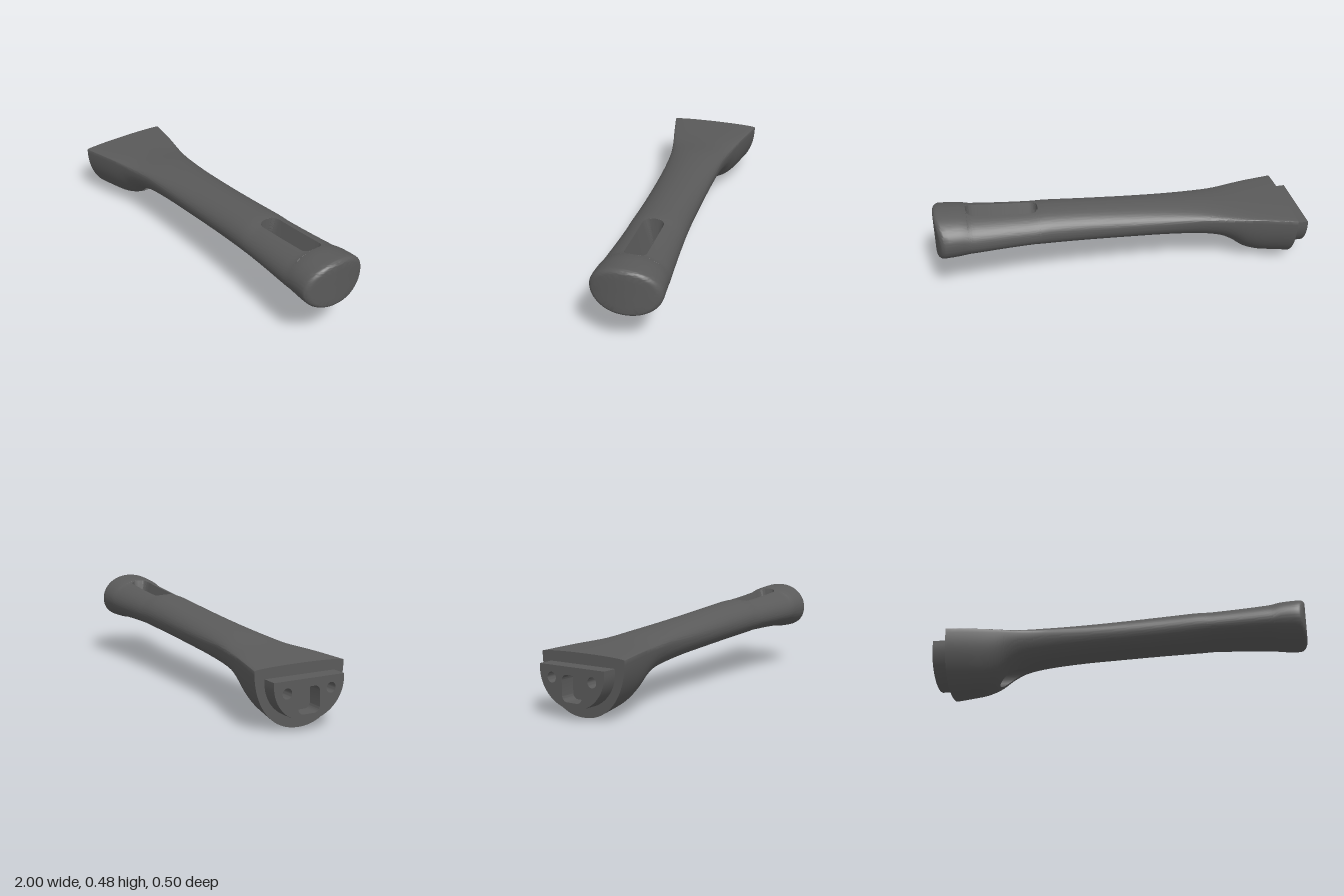
import * as THREE from 'three';
import { toCreasedNormals } from 'three/addons/utils/BufferGeometryUtils.js';

// Smooth curve through [x, value] points
function profile(pts) {
  const slope = pts.map((p, i) => {
    const a = pts[Math.max(i - 1, 0)], b = pts[Math.min(i + 1, pts.length - 1)];
    return (b[1] - a[1]) / (b[0] - a[0]);
  });
  return (x) => {
    let i = 0;
    while (i < pts.length - 2 && x > pts[i + 1][0]) i++;
    const [x0, y0] = pts[i], [x1, y1] = pts[i + 1], d = x1 - x0;
    const t = THREE.MathUtils.clamp((x - x0) / d, 0, 1), u = 1 - t;
    return y0 * (1 + 2 * t) * u * u + slope[i] * d * t * u * u
      + y1 * t * t * (3 - 2 * t) - slope[i + 1] * d * t * t * u;
  };
}

const topY = profile([[-0.92, 0.31], [-0.6, 0.335], [-0.4, 0.36], [0, 0.395], [0.4, 0.428],
  [0.5, 0.43], [0.8, 0.454], [0.86, 0.467], [0.97, 0.476], [1, 0.476]]);
const bottomY = profile([[-0.92, 0], [-0.82, 0.012], [-0.74, 0.025], [-0.67, 0.055], [-0.6, 0.11],
  [-0.53, 0.148], [-0.4, 0.175], [-0.2, 0.197], [0, 0.21], [0.2, 0.222], [0.44, 0.236],
  [0.5, 0.242], [0.82, 0.236], [0.88, 0.226], [1, 0.221]]);
const halfWidth = profile([[-0.92, 0.25], [-0.75, 0.215], [-0.6, 0.183], [-0.45, 0.158],
  [-0.3, 0.148], [-0.1, 0.143], [0.2, 0.142], [0.4, 0.148], [0.6, 0.158], [0.8, 0.172], [0.95, 0.18], [1, 0.18]]);
const crown = profile([[-0.92, 0.012], [-0.7, 0.02], [-0.5, 0.045], [-0.2, 0.075],
  [0.2, 0.095], [0.6, 0.108], [1, 0.131]]);

// Height of the upper or lower skin at s = z / half width
const upper = (x, s) => topY(x) - crown(x) * (1 - Math.sqrt(Math.max(0, 1 - s * s)));
function lower(x, s) {
  const yc = topY(x) - crown(x);
  return yc - (yc - bottomY(x)) * Math.pow(Math.max(0, 1 - Math.pow(s, 2.15)), 1 / 2.15);
}

// Half width of the hanging slot at x
const SLOT = [0.455, 0.83];
function slotHalf(x) {
  const d = Math.min(x - SLOT[0], SLOT[1] - x), r = 0.04;
  if (d <= 1e-6) return 0;
  return d < r ? 0.055 - r + Math.sqrt(r * r - (r - d) ** 2) : 0.055;
}

// Half width of the opening where the round bore meets the underside
const BORE = { y: 0.11, r: 0.05, end: -0.85 };
function boreHalf(x) {
  const inside = (z) => (lower(x, z / halfWidth(x)) - BORE.y) ** 2 + z * z < BORE.r ** 2;
  if (x > -0.4 || !inside(0)) return 0;
  let a = 0, b = BORE.r;
  for (let i = 0; i < 30; i++) {
    const m = (a + b) / 2;
    if (inside(m)) a = m; else b = m;
  }
  return a;
}

function handleGeometry() {
  // Stations along the handle, denser at the openings
  const xs = [];
  const span = (a, b, n) => { for (let i = 0; i <= n; i++) xs.push(a + (b - a) * i / n); };
  span(-0.92, 0.978, 80);
  span(-0.7, -0.45, 100);
  for (const [e, dir] of [[SLOT[0], 1], [SLOT[1], -1]])
    for (const d of [0, 0.0008, 0.003, 0.006, 0.01, 0.015, 0.022, 0.03, 0.04]) xs.push(e + dir * d);
  xs.sort((a, b) => a - b);
  const stations = [0, 0.5].map((s) => ({ x: -0.92, s }));
  xs.forEach((x, i) => { if (i === 0 || x - xs[i - 1] > 1e-5) stations.push({ x, s: 1 }); });
  for (let i = 1; i <= 6; i++) {
    const a = i / 6 * Math.PI / 2;
    stations.push({ x: 0.978 + 0.022 * Math.sin(a), s: 1 - 0.16 * (1 - Math.cos(a)) });
  }
  for (const s of [0.6, 0.3, 0]) stations.push({ x: 1, s });

  // Half sections, running from the top round the side to the bottom
  const N = 28;
  const rings = stations.map(({ x, s }) => {
    const w = halfWidth(x), h = slotHalf(x), g = boreHalf(x), mid = (topY(x) + bottomY(x)) / 2;
    const pts = [];
    for (let i = 0; i <= 2 * N; i++) {
      const up = i <= N, from = Math.asin((up ? h : g) / w);
      const t = up ? i / N : 2 - i / N;
      const k = Math.sin(from + (Math.PI / 2 - from) * t);
      const z = k * w * s, y = mid + ((up ? upper(x, k) : lower(x, k)) - mid) * s;
      const bend = 0.03 * (z / 0.18) ** 2 * THREE.MathUtils.smoothstep(x, 0.82, 0.98);
      pts.push(new THREE.Vector3(x - bend, y, z));
    }
    return { pts, h, g };
  });

  const pos = [];
  const tri = (a, b, c) => {
    const area = b.clone().sub(a).cross(c.clone().sub(a)).length();
    if (area < 1e-10) return;
    for (const p of [a, b, c]) pos.push(p.x, p.y, p.z);
    for (const p of [a, c, b]) pos.push(p.x, p.y, -p.z);
  };
  const quad = (a, b, c, d) => { tri(a, c, b); tri(b, c, d); };
  const deep = (p) => new THREE.Vector3(BORE.end, p.y, p.z);
  for (let j = 0; j < rings.length - 1; j++) {
    const A = rings[j], B = rings[j + 1], L = 2 * N;
    for (let i = 0; i < L; i++) quad(A.pts[i], B.pts[i], A.pts[i + 1], B.pts[i + 1]);
    // Slot wall and bore wall
    if (A.h || B.h) quad(A.pts[L], B.pts[L], A.pts[0], B.pts[0]);
    if (A.g || B.g) quad(A.pts[L], B.pts[L], deep(A.pts[L]), deep(B.pts[L]));
  }
  const geo = new THREE.BufferGeometry();
  geo.setAttribute('position', new THREE.Float32BufferAttribute(pos, 3));
  return toCreasedNormals(geo, 0.65);
}

// D-shaped plug with a central socket and two pin holes
function plugGeometry() {
  const shape = new THREE.Shape();
  shape.moveTo(0.195, 0.255);
  for (let i = 0; i <= 40; i++) {
    const a = i / 40 * Math.PI;
    shape.lineTo(0.195 * Math.cos(a), 0.235 - 0.183 * Math.sin(a));
  }
  shape.lineTo(-0.195, 0.255);
  shape.closePath();
  const socket = new THREE.Path(), c = 0.03;
  const corners = [[0.03, 0.115, -1], [0.03, 0.185, 0], [-0.03, 0.185, 1], [-0.03, 0.115, 2]];
  for (const [x, y, q] of corners) socket.absarc(x, y, c, q * Math.PI / 2, (q + 1) * Math.PI / 2, false);
  shape.holes.push(socket);
  for (const side of [-1, 1]) {
    const pin = new THREE.Path();
    pin.absarc(side * 0.122, 0.195, 0.026, 0, Math.PI * 2, false);
    shape.holes.push(pin);
  }
  const geo = new THREE.ExtrudeGeometry(shape, { depth: 0.08, bevelEnabled: false, curveSegments: 12 });
  geo.rotateY(-Math.PI / 2).translate(-0.92, 0, 0);
  return toCreasedNormals(geo, 0.6);
}

export function createModel() {
  const group = new THREE.Group();
  const material = new THREE.MeshStandardMaterial({ color: 0x5a5a5a });
  material.name = 'dark grey plastic';
  const add = (name, geo) => {
    const mesh = new THREE.Mesh(geo, material);
    mesh.name = name;
    group.add(mesh);
  };
  add('handleBody', handleGeometry());
  add('mountingPlug', plugGeometry());
  add('boreFloor', new THREE.CircleGeometry(BORE.r, 32).rotateY(Math.PI / 2).translate(BORE.end, BORE.y, 0));
  group.name = 'handle';
  return group;
}
